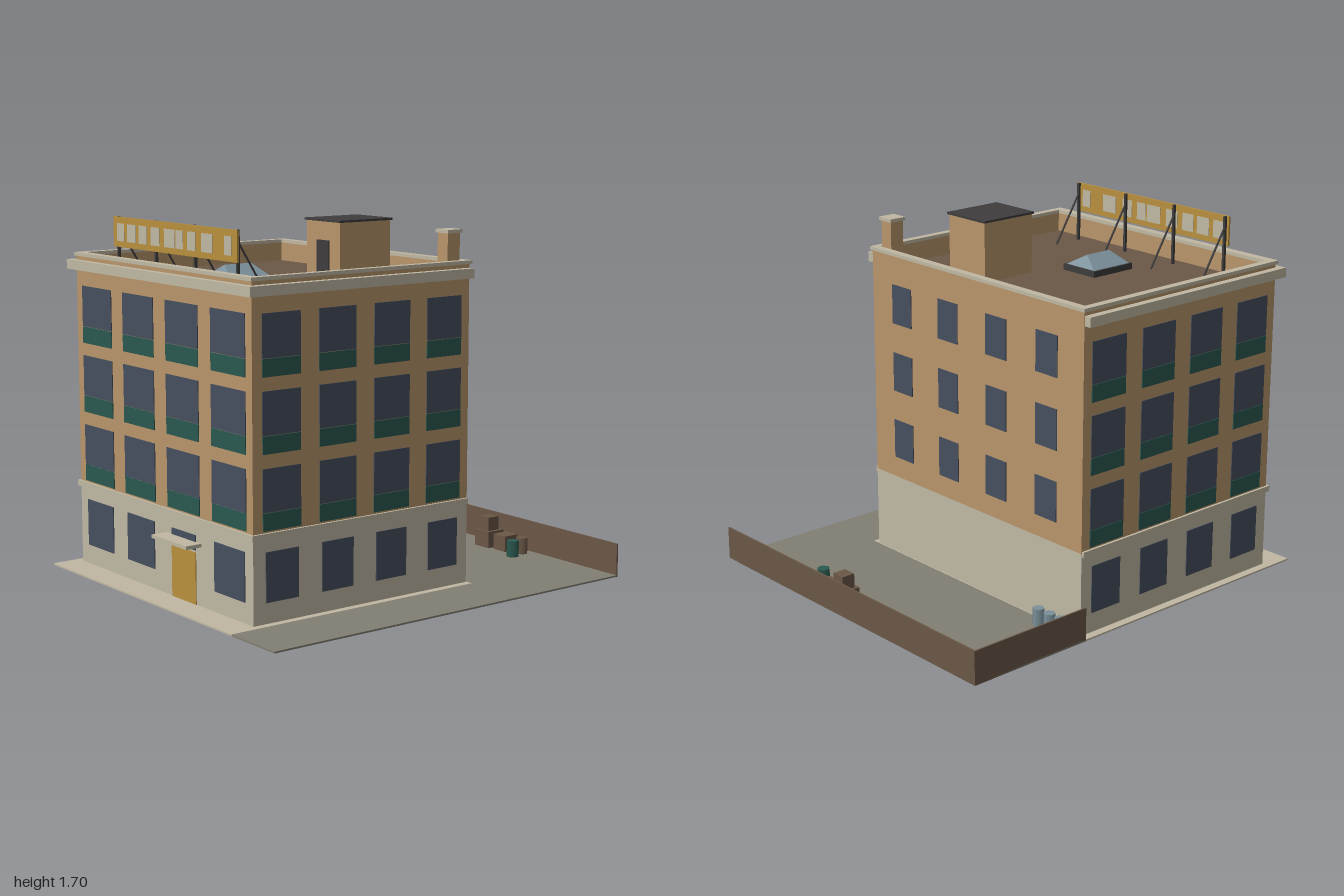
import * as THREE from 'three';

const mat = (name, color) => {
  const m = new THREE.MeshStandardMaterial({ color });
  m.name = name;
  return m;
};

export function createModel() {
  const brick = mat('brick', 0xb8956a), stone = mat('pale stone', 0xc0b8a3), pane = mat('window blue', 0x464e5e);
  const green = mat('dark green', 0x2b594f), gold = mat('gold', 0xb8903e), brown = mat('brown', 0x6b5747);
  const dark = mat('charcoal', 0x3e3c3c), asphalt = mat('asphalt', 0x827f73), glass = mat('pale glass', 0x7b919b);

  const root = new THREE.Group();
  root.name = 'cornerBuilding';
  const add = (name, geo, material, parent = root) => {
    const m = new THREE.Mesh(geo, material);
    m.name = name;
    parent.add(m);
    return m;
  };
  // Box given by its limits on each axis
  const box = (name, material, [x0, x1], [y0, y1], [z0, z1], parent) => {
    const m = add(name, new THREE.BoxGeometry(x1 - x0, y1 - y0, z1 - z0), material, parent);
    m.position.set((x0 + x1) / 2, (y0 + y1) / 2, (z0 + z1) / 2);
    return m;
  };
  // Horizontal rectangular ring; rectangles are [x0, x1, z0, z1]
  const ring = (name, material, outer, inner, y0, y1) => {
    const pts = ([a, b, c, d]) => [[a, -d], [b, -d], [b, -c], [a, -c]].map(p => new THREE.Vector2(...p));
    const shape = new THREE.Shape(pts(outer));
    shape.holes.push(new THREE.Path(pts(inner).reverse()));
    const geo = new THREE.ExtrudeGeometry(shape, { depth: y1 - y0, bevelEnabled: false }).rotateX(-Math.PI / 2);
    add(name, geo, material).position.y = y0;
  };
  // Round bar between two points
  const bar = (name, a, b, r, material) => {
    const d = b.clone().sub(a);
    const m = add(name, new THREE.CylinderGeometry(r, r, d.length(), 6), material);
    m.position.copy(a).add(b).multiplyScalar(0.5);
    m.quaternion.setFromUnitVectors(new THREE.Vector3(0, 1, 0), d.normalize());
  };

  const L = -0.87, R = 0.565, B = -0.35, F = 0.86, ROOF = 1.4;

  // Pavement, alley and yard walls
  box('pavement', stone, [-0.91, 0.6], [0, 0.008], [-0.355, 1]);
  box('rearAlley', asphalt, [-0.91, 0.91], [0, 0.008], [-1, -0.355]);
  box('sideAlley', asphalt, [0.6, 0.91], [0, 0.008], [-0.355, 1]);
  box('rearYardWall', brown, [-0.91, 0.91], [0, 0.16], [-1, -0.992]);
  box('sideYardWall', brown, [-0.91, -0.902], [0, 0.16], [-0.992, -0.355]);

  // Main body, parapet and bands
  box('groundStorey', stone, [L, R], [0.005, 0.4], [B, F]);
  box('upperStoreys', brick, [L, R], [0.4, ROOF], [B, F]);
  box('roofDeck', brown, [-0.85, 0.545], [ROOF, ROOF + 0.004], [-0.33, 0.83]);
  ring('parapet', brick, [L, R, B, F], [-0.845, 0.54, -0.325, 0.825], ROOF, 1.497);
  ring('coping', stone, [-0.88, 0.573, -0.36, 0.866], [-0.842, 0.537, -0.322, 0.822], 1.495, 1.511);
  ring('cornice', stone, [-0.905, 0.602, -0.348, 0.893], [-0.86, 0.555, -0.34, 0.85], 1.432, 1.477);
  ring('storeyBand', stone, [-0.882, 0.577, -0.348, 0.872], [-0.86, 0.555, -0.34, 0.85], 0.383, 0.41);

  // Thin plate on a wall: u runs along the wall, centred at c
  const T = 0.004;
  const plate = (name, material, wall, c, w, y0, y1) => {
    const u = [c - w / 2, c + w / 2], y = [y0, y1];
    if (wall === 'front') box(name, material, u, y, [F - T, F + T]);
    if (wall === 'back') box(name, material, u, y, [B - T, B + T]);
    if (wall === 'left') box(name, material, [R - T, R + T], y, u);
    if (wall === 'right') box(name, material, [L - T, L + T], y, u);
  };
  const frontX = [-0.688, -0.329, 0.031, 0.389], sideZ = [0.708, 0.405, 0.102, -0.201];
  const backX = [-0.64, -0.31, 0.02, 0.35];

  // Upper windows with green spandrels; plain small windows at the back
  for (const y of [0.418, 0.752, 1.084]) {
    const bay = (wall, c, w) => {
      plate('window', pane, wall, c, w, y + 0.08, y + 0.272);
      plate('spandrel', green, wall, c, w, y, y + 0.078);
    };
    frontX.forEach(c => bay('front', c, 0.258));
    sideZ.forEach(c => { bay('left', c, 0.202); bay('right', c, 0.202); });
    backX.forEach(c => plate('rearWindow', pane, 'back', c, 0.137, y + 0.083, y + 0.272));
  }

  // Ground floor windows, entrance and canopy
  [0, 1, 3].forEach(i => plate('shopWindow', pane, 'front', frontX[i], 0.232, 0.102, 0.326));
  sideZ.forEach(c => ['left', 'right'].forEach(w => plate('groundWindow', pane, w, c, 0.174, 0.102, 0.326)));
  plate('frontDoor', gold, 'front', 0.029, 0.194, 0.008, 0.247);
  plate('transom', pane, 'front', 0.029, 0.194, 0.257, 0.326);
  box('canopy', stone, [-0.112, 0.17], [0.28, 0.296], [F - 0.01, 0.942]);

  // Stair house
  box('stairHouse', brick, [0.01, 0.258], [ROOF, 1.686], [-0.135, 0.155]);
  box('stairHouseRoof', dark, [0.003, 0.265], [1.685, 1.695], [-0.143, 0.162]);
  box('stairHouseDoor', dark, [0.09, 0.18], [ROOF + 0.004, 1.6], [0.152, 0.159]);

  // Chimney
  box('chimney', brick, [0.468, 0.537], [ROOF, 1.64], [-0.315, -0.243]);
  box('chimneyCap', stone, [0.46, 0.546], [1.636, 1.652], [-0.323, -0.235]);

  // Skylight: hipped glass on a kerb
  box('skylightKerb', dark, [-0.256, -0.05], [ROOF, 1.433], [0.303, 0.552]);
  const e = [[-0.245, 0.314], [-0.061, 0.314], [-0.061, 0.541], [-0.245, 0.541]].map(([x, z]) => [x, 1.433, z]);
  const r0 = [-0.153, 1.486, 0.355], r1 = [-0.153, 1.486, 0.5];
  const tris = [e[1], e[0], r0, e[3], e[2], r1, e[0], e[3], r1, e[0], r1, r0, e[2], e[1], r0, e[2], r0, r1];
  const hip = new THREE.BufferGeometry();
  hip.setAttribute('position', new THREE.Float32BufferAttribute(tris.flat(), 3));
  hip.computeVertexNormals();
  add('skylightGlass', hip, glass);

  // Roof sign with blank panels on both faces, posts and raking struts
  box('signBoard', gold, [-0.654, 0.352], [1.55, 1.69], [0.773, 0.783]);
  const panels = [[-0.62, 0.06], [-0.533, 0.075], [-0.434, 0.07], [-0.331, 0.073], [-0.219, 0.087],
    [-0.123, 0.058], [-0.03, 0.063], [0.08, 0.087], [0.258, 0.053]];
  panels.forEach(([x0, w]) => box('signPanel', stone, [x0, x0 + w], [1.577, 1.66], [0.771, 0.785]));
  for (const x of [-0.637, -0.315, 0.006, 0.333]) {
    box('signPost', dark, [x - 0.006, x + 0.006], [ROOF, 1.69], [0.759, 0.772]);
    bar('signStrut', new THREE.Vector3(x, 1.635, 0.762), new THREE.Vector3(x, ROOF, 0.615), 0.005, dark);
  }

  // Yard crates and six-sided bins
  box('largeCrate', brown, [0.052, 0.153], [0.008, 0.09], [-0.965, -0.865]);
  box('stackedCrate', brown, [0.068, 0.135], [0.09, 0.158], [-0.948, -0.881]);
  box('smallCrate', brown, [0.174, 0.257], [0.008, 0.085], [-0.965, -0.88]);
  const bin = (name, material, x, z, r, h) =>
    add(name, new THREE.CylinderGeometry(r, r, h, 6).toNonIndexed(), material).position.set(x, 0.008 + h / 2, z);
  bin('brownBarrel', brown, 0.325, -0.93, 0.029, 0.08);
  bin('greenBarrel', green, 0.343, -0.853, 0.031, 0.08);
  [-0.798, -0.728, -0.656].forEach(x => bin('rubbishBin', glass, x, -0.405, 0.028, 0.082));

  return root;
}
